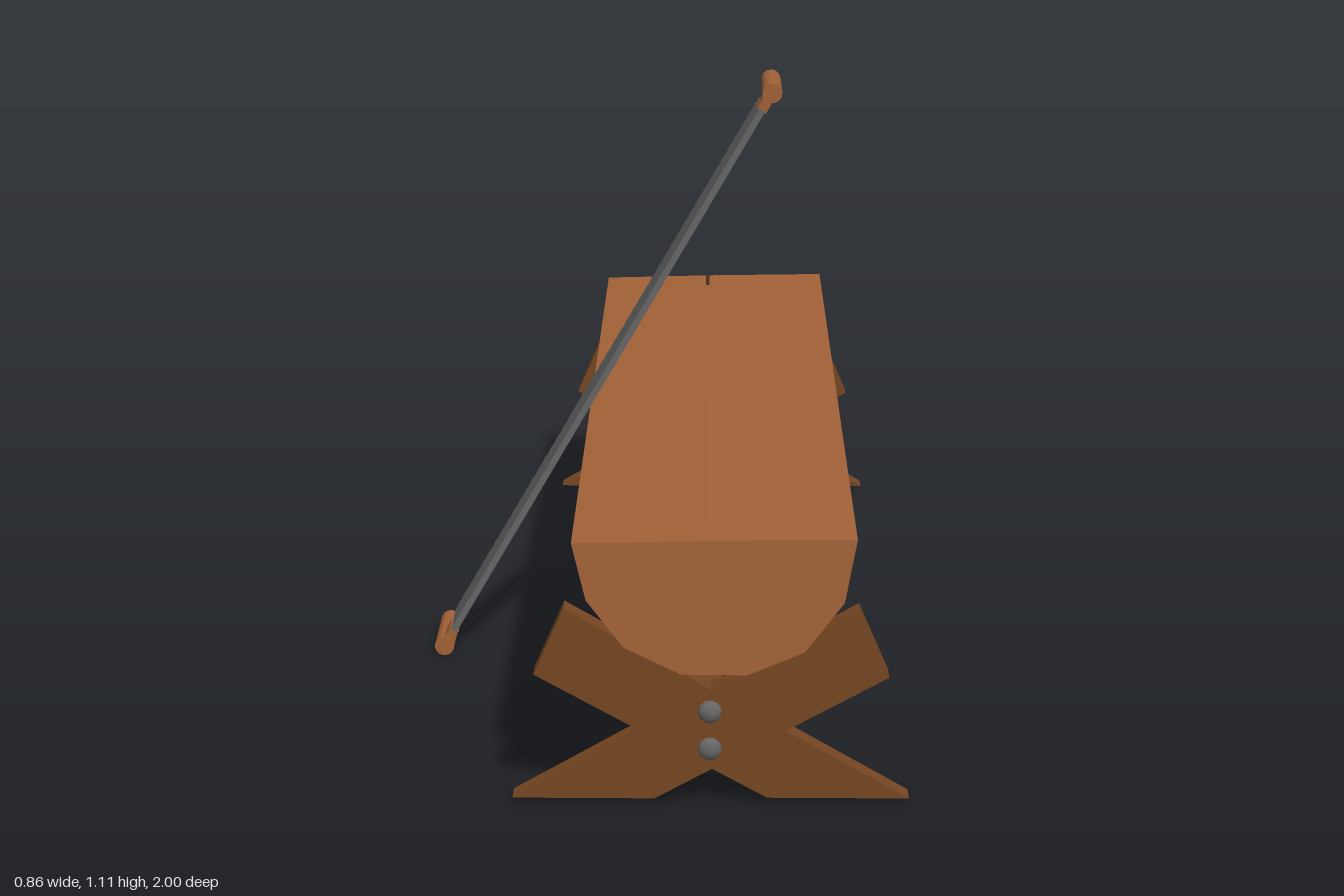
import * as THREE from 'three';

const mat = (name, color) => {
  const m = new THREE.MeshStandardMaterial({ color });
  m.name = name;
  return m;
};

const polygon = (points) => new THREE.Shape(points.map(([x, y]) => new THREE.Vector2(x, y)));
const extrude = (points, depth) =>
  new THREE.ExtrudeGeometry(polygon(points), { depth, bevelEnabled: false });

export function createModel() {
  const model = new THREE.Group();
  const logWood = mat('log wood', 0xa36238);
  const plankWood = mat('plank wood', 0x764722);
  const metal = mat('grey metal', 0x666666);
  const crackWood = mat('crack brown', 0x4a2a14);

  const add = (parent, name, geometry, material, x = 0, y = 0, z = 0) => {
    const mesh = new THREE.Mesh(geometry, material);
    mesh.name = name;
    mesh.position.set(x, y, z);
    parent.add(mesh);
    return mesh;
  };

  // Half log, flat side up, with slightly slanted saw-cut ends
  const logGeo = extrude([
    [-0.137, 0.472], [-0.113, 0.375], [-0.05, 0.295], [0.045, 0.25],
    [0.155, 0.25], [0.25, 0.29], [0.315, 0.375], [0.335, 0.482], [0.085, 0.478],
  ], 1);
  const p = logGeo.attributes.position;
  for (let i = 0; i < p.count; i++) {
    const slant = 0.06 * (0.48 - p.getY(i));
    p.setZ(i, p.getZ(i) > 0.5 ? 0.983 + 0.015 * p.getX(i) + slant : -0.987 - slant);
  }
  logGeo.computeVertexNormals();
  add(model, 'halfLog', logGeo, logWood);

  // Drying crack at the back end
  add(model, 'crackTop', new THREE.BoxGeometry(0.007, 0.004, 0.095), crackWood, 0.085, 0.477, -0.939);
  add(model, 'crackEnd', new THREE.BoxGeometry(0.007, 0.02, 0.004), crackWood, 0.085, 0.468, -0.987);

  // Crossed leg planks, bolted at each end
  const midX = 0.095;
  const plank = [[-0.335, 0.012], [-0.095, 0.012], [0.298, 0.23], [0.247, 0.347]];
  const mirrored = plank.map(([x, y]) => [-x, y]).reverse();
  for (const side of [1, -1]) {
    const legs = new THREE.Group();
    legs.name = side > 0 ? 'frontLegs' : 'backLegs';
    legs.position.x = midX;
    add(legs, 'risingRightPlank', extrude(plank, 0.042), plankWood, 0, 0, side > 0 ? 0.91 : -0.942);
    add(legs, 'risingLeftPlank', extrude(mirrored, 0.042), plankWood, 0, 0, side > 0 ? 0.904 : -0.948);
    for (const y of [0.102, 0.168]) {
      const dome = new THREE.SphereGeometry(0.02, 16, 6, 0, Math.PI * 2, 0, Math.PI / 2);
      dome.scale(1, 0.65, 1).rotateX(side * Math.PI / 2);
      add(legs, 'bolt', dome, metal, -0.002, y, side > 0 ? 0.952 : -0.948);
    }
    model.add(legs);
  }

  // Long rail joining the two leg crosses
  add(model, 'rail', new THREE.BoxGeometry(0.04, 0.125, 1.81), plankWood, midX, 0.138, 0);

  // Two-handed saw leaning against the log
  const saw = new THREE.Group();
  saw.name = 'saw';
  saw.position.set(-0.106, 0.556, 0);
  saw.rotation.z = -Math.PI / 6;
  const half = 0.583, teeth = 48, pitch = (2 * half) / teeth;
  const outline = [[-0.21, half], [-0.21, -half]];
  for (let i = 0; i < teeth; i++) {
    const y = -half + i * pitch;
    outline.push([-0.091, y], [-0.081, y + pitch / 2]);
  }
  outline.push([-0.091, half]);
  const blade = extrude(outline, 0.012);
  blade.translate(0, 0, -0.006).rotateY(Math.PI / 2);
  add(saw, 'blade', blade, metal);
  for (const end of [-1, 1]) {
    add(saw, 'handleNeck', new THREE.BoxGeometry(0.018, 0.04, 0.055), logWood, 0, end * 0.6, 0.18);
    const grip = new THREE.CylinderGeometry(0.0185, 0.0185, 0.16, 14);
    grip.rotateX(Math.PI / 2);
    add(saw, 'handleGrip', grip, logWood, 0, end * 0.619, 0.13);
  }
  model.add(saw);

  return model;
}
